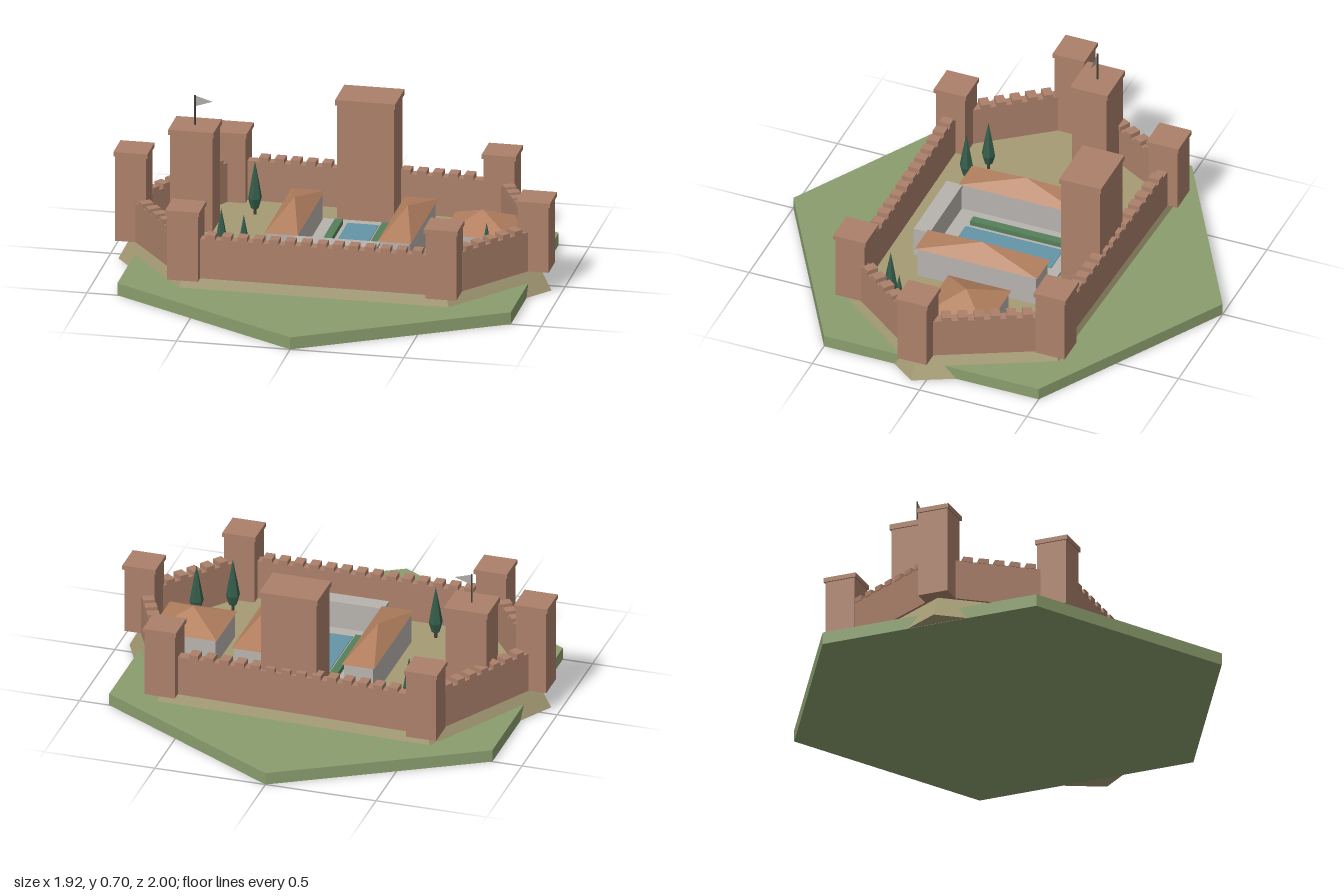
import * as THREE from 'three';

const mat = (name, color) => new THREE.MeshStandardMaterial({ name, color });

export function createModel() {
  const M = {
    grass: mat('grass', 0x8a9e6e),
    sand: mat('sand', 0xa59b74),
    brick: mat('brick', 0xab806a),
    roof: mat('roof tile', 0xb3805f),
    stone: mat('pale stone', 0xb7b2ae),
    water: mat('water', 0x6595a8),
    hedge: mat('hedge', 0x56805a),
    tree: mat('cypress', 0x355c4a),
    dark: mat('dark wood', 0x47413c),
    flag: mat('flag cloth', 0xb0aba5),
  };
  M.flag.side = THREE.DoubleSide;

  const root = new THREE.Group();
  root.name = 'castle';

  const add = (name, geo, material, x = 0, y = 0, z = 0, parent = root) => {
    const m = new THREE.Mesh(geo, material);
    m.name = name;
    m.position.set(x, y, z);
    parent.add(m);
    return m;
  };
  // Box given by its base height and top height
  const block = (name, material, x, z, w, d, y0, y1, parent = root) =>
    add(name, new THREE.BoxGeometry(w, y1 - y0, d), material, x, (y0 + y1) / 2, z, parent);
  // Faceted copy of a geometry
  const flat = (geo) => {
    const g = geo.toNonIndexed();
    g.computeVertexNormals();
    return g;
  };
  const pyramid = (name, x, z, w, d, y0, y1) => {
    const g = new THREE.ConeGeometry(Math.SQRT1_2, 1, 4);
    g.rotateY(Math.PI / 4);
    g.scale(w, y1 - y0, d);
    return add(name, flat(g), M.roof, x, (y0 + y1) / 2, z);
  };

  const G = 0.105; // courtyard level

  // Hexagonal ground with its points at front and back
  add('ground', flat(new THREE.CylinderGeometry(1, 1, 0.055, 6)), M.grass, 0, 0.0275, 0);

  // Curtain wall corners, x and z, and tower heights
  const corners = [
    [-0.57, 0.475, 0.425], [0.567, 0.475, 0.425], [0.885, 0.055, 0.425],
    [0.622, -0.48, 0.425], [-0.57, -0.515, 0.425], [-0.887, 0.053, 0.515],
  ];

  // Sloping mound under the castle
  const outline = new THREE.Shape(corners.map(([x, z]) => new THREE.Vector2(x * 1.015, -z * 1.015)));
  const mound = new THREE.ExtrudeGeometry(outline, { depth: G - 0.001, bevelEnabled: false });
  mound.rotateX(-Math.PI / 2);
  const p = mound.attributes.position;
  for (let i = 0; i < p.count; i++) {
    if (p.getY(i) < 0.01) p.setXYZ(i, p.getX(i) * 1.06, 0, p.getZ(i) * 1.06);
  }
  mound.computeVertexNormals();
  add('mound', mound, M.sand, 0, 0.001, 0);

  // Towers with a slightly wider cap
  const tower = (name, x, z, w, d, top, cap = 0.02) => {
    const g = new THREE.Group();
    g.name = name;
    root.add(g);
    block('towerBody', M.brick, x, z, w - 0.014, d - 0.014, G, top - cap, g);
    block('towerCap', M.brick, x, z, w, d, top - cap, top, g);
  };
  corners.forEach(([x, z, h]) => tower('cornerTower', x, z, 0.15, 0.15, h));
  tower('keep', 0.053, -0.412, 0.265, 0.195, 0.66, 0.025);
  tower('flagTower', -0.66, -0.145, 0.2, 0.175, 0.565, 0.024);

  // Curtain walls with battlements
  corners.forEach(([x0, z0], i) => {
    const [x1, z1] = corners[(i + 1) % corners.length];
    const len = Math.hypot(x1 - x0, z1 - z0);
    const wall = new THREE.Group();
    wall.name = 'curtainWall';
    wall.position.set((x0 + x1) / 2, 0, (z0 + z1) / 2);
    wall.rotation.y = -Math.atan2(z1 - z0, x1 - x0);
    root.add(wall);
    block('wall', M.brick, 0, 0, len, 0.046, G, 0.285, wall);
    const n = Math.floor((len - 0.15) / 0.07);
    for (let k = 0; k < n; k++) {
      block('merlon', M.brick, (k - (n - 1) / 2) * 0.07, 0, 0.042, 0.053, 0.283, 0.306, wall);
    }
  });

  // Pennant
  add('flagPole', new THREE.CylinderGeometry(0.004, 0.004, 0.135, 6), M.dark, -0.66, 0.6325, -0.145);
  const pennant = new THREE.Shape();
  pennant.moveTo(0, 0);
  pennant.lineTo(0.078, 0.026);
  pennant.lineTo(0, 0.05);
  add('flag', new THREE.ShapeGeometry(pennant), M.flag, -0.66, 0.649, -0.145);

  // Palace court with pool and hedges
  block('courtFloor', M.stone, 0.055, 0.02, 0.373, 0.64, G, 0.12);
  block('pool', M.water, 0.057, -0.025, 0.137, 0.455, 0.118, 0.124);
  for (const x of [-0.047, 0.161]) block('hedge', M.hedge, x, -0.027, 0.036, 0.43, 0.119, 0.143);

  // Gallery across the front of the court
  block('gallery', M.stone, 0.055, 0.3, 0.36, 0.066, 0.119, 0.23);
  block('galleryRoof', M.stone, 0.055, 0.3025, 0.373, 0.075, 0.23, 0.245);
  for (let i = 0; i < 7; i++) block('galleryColumn', M.stone, -0.113 + i * 0.056, 0.336, 0.016, 0.016, 0.119, 0.23);

  // Side wings and the house, each under a hipped roof
  const house = (name, x, z, w, d, eave, top) => {
    block(name, M.stone, x, z, w - 0.018, d - 0.018, G, eave);
    pyramid(name + 'Roof', x, z, w, d, eave, top);
  };
  for (const x of [-0.192, 0.306]) house('wing', x, -0.007, 0.147, 0.57, 0.25, 0.318);
  house('house', 0.625, -0.063, 0.305, 0.295, 0.228, 0.303);

  // Cypress trees
  const profile = [[0, 0.02], [0.018, 0.03], [0.031, 0.075], [0.02, 0.14], [0, 0.245]];
  const crown = flat(new THREE.LatheGeometry(profile.map(([r, y]) => new THREE.Vector2(r, y)), 6));
  const trunk = new THREE.CylinderGeometry(0.007, 0.007, 0.04, 6);
  for (const [x, z] of [[-0.434, -0.325], [-0.455, 0.278], [-0.344, 0.335], [0.566, 0.313], [0.7, 0.218]]) {
    add('treeCrown', crown, M.tree, x, G, z);
    add('treeTrunk', trunk, M.dark, x, G + 0.02, z);
  }

  return root;
}
